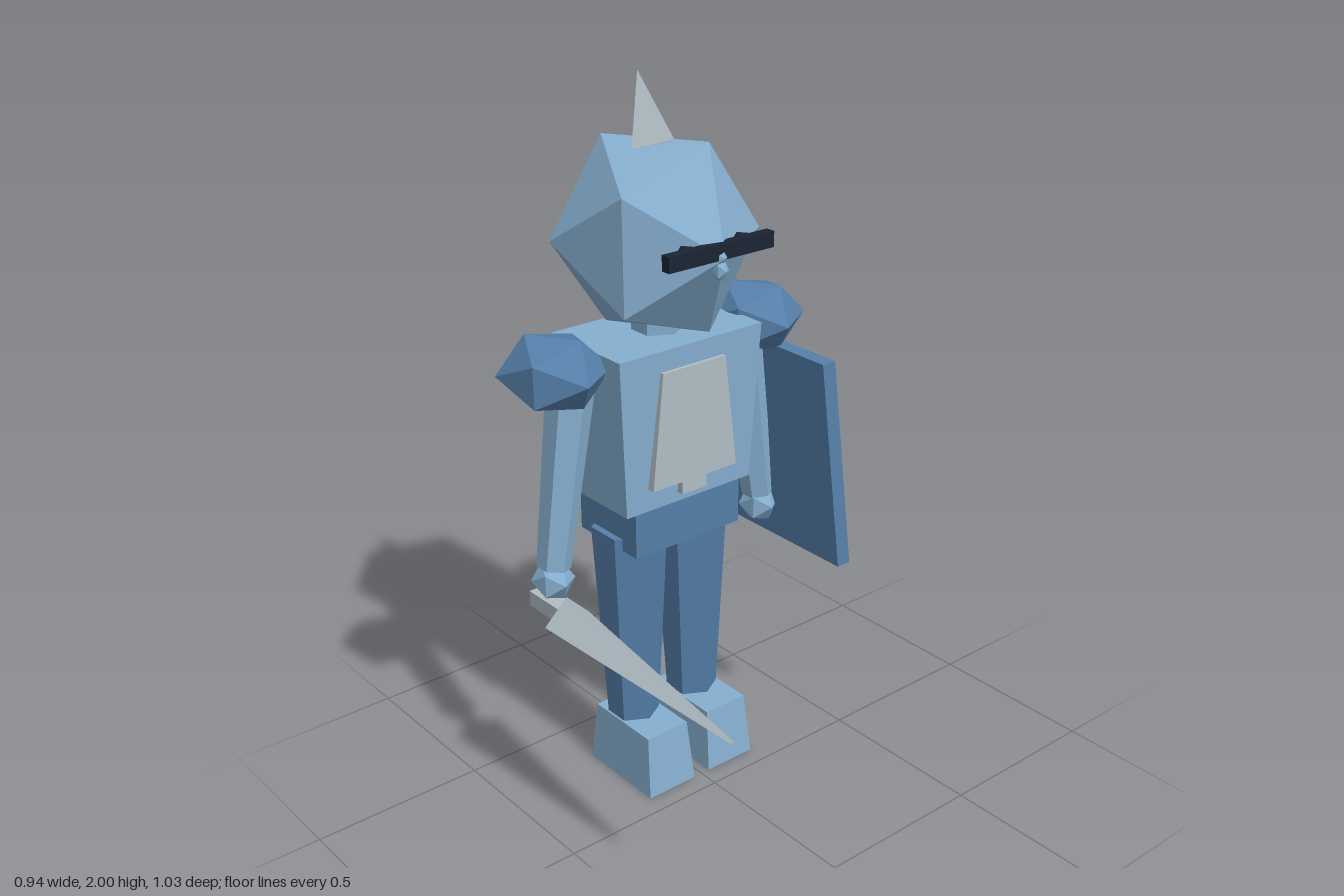
import * as THREE from 'three';

const mat = (name, color) => {
  const m = new THREE.MeshStandardMaterial({ color, flatShading: true });
  m.name = name;
  return m;
};

export function createModel() {
  const armour = mat('light blue armour', 0x86aecf);
  const cloth = mat('dark blue', 0x557fa9);
  const steel = mat('steel grey', 0xb0bcc4);
  const dark = mat('visor black', 0x1a2433);
  const MID = -0.237; // depth of the body axis
  const model = new THREE.Group();
  model.name = 'armouredFigure';

  const add = (name, geo, material, x = 0, y = 0, z = 0) => {
    const mesh = new THREE.Mesh(geo, material);
    mesh.name = name;
    mesh.position.set(x, y, z);
    model.add(mesh);
    return mesh;
  };

  // Twenty-sided ball with one corner pointing forward
  const ball = (rx, ry, rz) => new THREE.IcosahedronGeometry(1, 0)
    .rotateX(Math.atan(2 / (1 + Math.sqrt(5))))
    .rotateZ(Math.PI / 2)
    .scale(rx, ry, rz);

  // Box with different top and bottom sizes; the top may shift sideways
  const block = ([wt, dt], [wb, db], h, shiftX = 0, shiftZ = 0) => {
    const geo = new THREE.BoxGeometry(1, h, 1);
    const p = geo.attributes.position;
    for (let i = 0; i < p.count; i++) {
      const top = p.getY(i) > 0;
      p.setX(i, p.getX(i) * (top ? wt : wb) + (top ? shiftX : 0));
      p.setZ(i, p.getZ(i) * (top ? dt : db) + (top ? shiftZ : 0));
    }
    geo.computeVertexNormals();
    return geo;
  };

  // Tapered rod between two points
  const UP = new THREE.Vector3(0, 1, 0);
  const rod = (name, from, to, r0, r1, sides, material) => {
    const a = new THREE.Vector3(...from), b = new THREE.Vector3(...to);
    const dir = b.clone().sub(a);
    const mesh = add(name, new THREE.CylinderGeometry(r1, r0, dir.length(), sides), material);
    mesh.position.copy(a).add(b).multiplyScalar(0.5);
    mesh.quaternion.setFromUnitVectors(UP, dir.normalize());
    return mesh;
  };

  // Trunk
  add('torso', block([0.475, 0.297], [0.425, 0.262], 0.45), armour, 0, 1.108, MID);
  add('pelvis', block([0.36, 0.25], [0.36, 0.25], 0.15), cloth, 0, 0.825, MID);
  add('chestPlate', block([0.21, 0.03], [0.286, 0.03], 0.325), steel, 0, 1.112, -0.095);
  add('buckle', new THREE.BoxGeometry(0.084, 0.06, 0.03), steel, 0, 0.94, -0.1);
  rod('neck', [0, 1.3, MID], [0, 1.42, MID], 0.07, 0.07, 6, armour);

  // Helmet, crest and face
  add('head', ball(0.277, 0.296, 0.277), armour, 0, 1.589, MID);
  rod('crest', [0, 1.82, -0.24], [0, 2.0, -0.302], 0.07, 0, 4, steel);
  add('visor', new THREE.BoxGeometry(0.34, 0.042, 0.028), dark, 0, 1.605, 0.017);
  add('nose', ball(0.022, 0.03, 0.024), armour, 0, 1.556, 0.021);

  // Paired parts
  for (const s of [-1, 1]) {
    const side = s > 0 ? 'left' : 'right';
    add(side + 'Eye', ball(0.032, 0.028, 0.026), dark, s * 0.09, 1.607, 0.0);
    add(side + 'Shoulder', ball(0.15, 0.109, 0.15), cloth, s * 0.335, 1.293, MID);
    rod(side + 'Arm', [s * 0.28, 1.28, MID], [s * 0.363, 0.74, MID], 0.066, 0.047, 6, armour);
    add(side + 'Hand', ball(0.06, 0.062, 0.06), armour, s * 0.367, 0.704, MID);
    rod(side + 'Leg', [s * 0.108, 0.17, MID], [s * 0.108, 0.785, MID], 0.073, 0.106, 6, cloth);
    add(side + 'Boot', block([0.14, 0.24], [0.162, 0.28], 0.185), armour, s * 0.108, 0.0925, -0.2);
  }

  // Sword in the right hand
  rod('swordBlade', [-0.378, 0.615, -0.165], [-0.378, 0.578, 0.515], 0.07, 0.006, 4, steel);
  add('swordGrip', new THREE.BoxGeometry(0.05, 0.045, 0.14), steel, -0.375, 0.627, -0.235);

  // Shield on the left arm, leaning in at the top
  add('shield', block([0.045, 0.375], [0.045, 0.45], 0.615, -0.042, -0.005), cloth, 0.423, 0.907, -0.155);
  add('shieldStripe', block([0.03, 0.076], [0.03, 0.076], 0.32, -0.022), steel, 0.434, 0.925, -0.155);

  return model;
}
